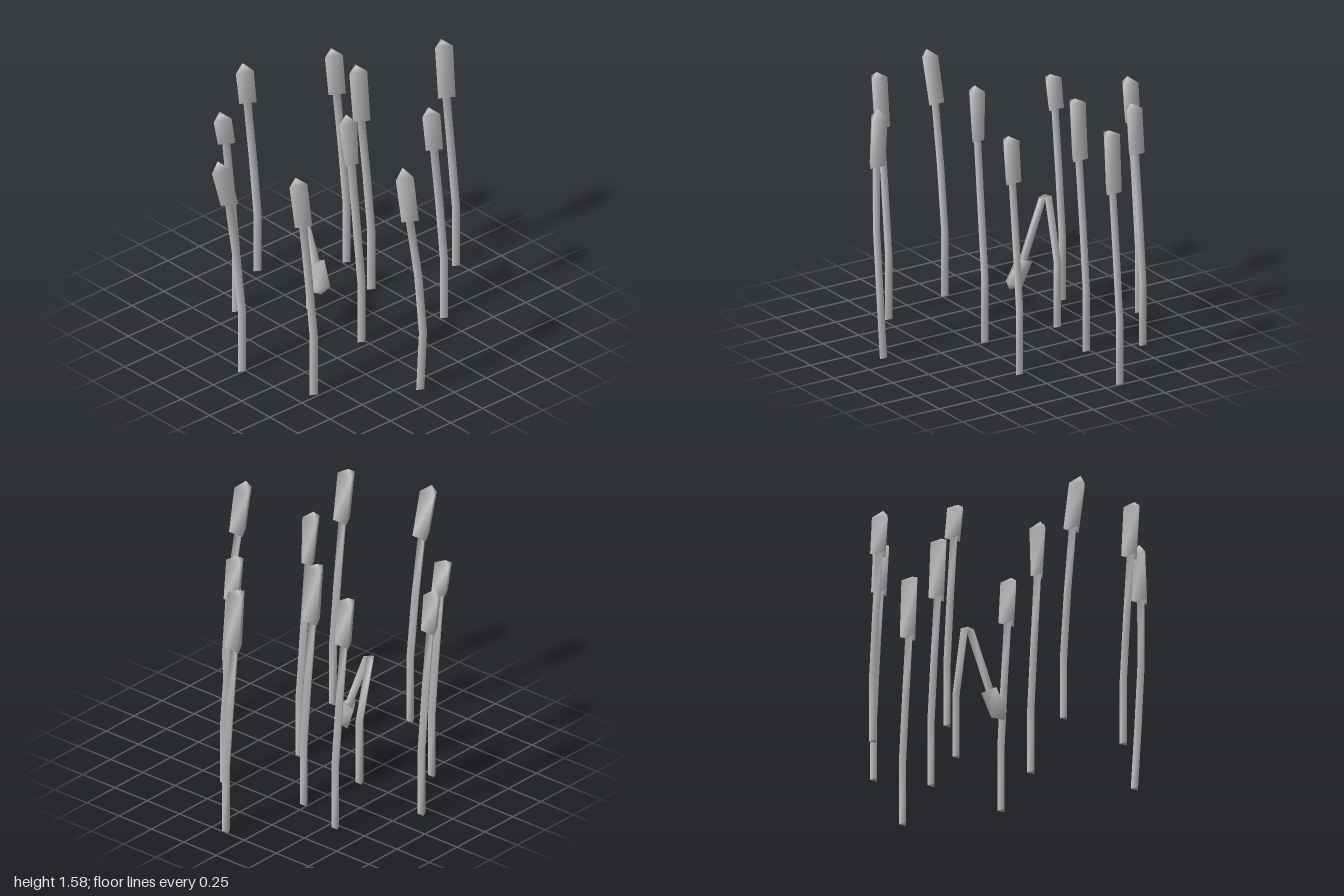
import * as THREE from 'three';

const SIDES = 3;
const STEM = 0.028, HEAD = 0.062;
const UP = new THREE.Vector3(0, 1, 0);
const material = new THREE.MeshStandardMaterial({ color: 0xcccccc });

// Skins triangular rings { at, dir, r } and closes them with a point at the tip.
function sweep(rings, tip) {
  const pos = [], index = [];
  const addRing = ({ at, dir = UP, r }) => {
    const q = new THREE.Quaternion().setFromUnitVectors(UP, dir.clone().normalize());
    for (let i = 0; i < SIDES; i++) {
      const a = Math.PI + (i / SIDES) * Math.PI * 2;
      const p = new THREE.Vector3(Math.cos(a) * r, 0, Math.sin(a) * r).applyQuaternion(q).add(at);
      pos.push(p.x, p.y, p.z);
    }
  };
  rings.forEach(addRing);
  const tipId = rings.length * SIDES;
  pos.push(tip.x, tip.y, tip.z);
  for (let k = 0; k < rings.length; k++) {
    for (let i = 0; i < SIDES; i++) {
      const a = k * SIDES + i, b = k * SIDES + (i + 1) % SIDES;
      if (k === rings.length - 1) index.push(a, tipId, b);
      else index.push(a, a + SIDES, b, b, a + SIDES, b + SIDES);
    }
  }
  // flat foot with its own vertices, so its edge stays sharp
  addRing(rings[0]);
  index.push(tipId + 1, tipId + 2, tipId + 3);
  const geo = new THREE.BufferGeometry();
  geo.setAttribute('position', new THREE.Float32BufferAttribute(pos, 3));
  geo.setIndex(index);
  geo.computeVertexNormals();
  return geo;
}

const V = (x, y, z) => new THREE.Vector3(x, y, z);

// Upright reed: straight foot, stem curving to -x, long head with a pointed cap.
function reed({ x, z, top, cap, lean = [0.037, 0.078, 0.108], bow = [0, 0, 0, 0], neck = 1.18, neckR = 0.06 }) {
  const base = V(x, 0, z);
  const bend = V(x, 0.4, z + bow[0]);
  const mid = V(x - lean[0], 0.8, z + bow[1]);
  const collar = V(x - lean[1], neck, z + bow[2]);
  const tip = V(x - lean[2], top, z + bow[3]);
  const dir = tip.clone().sub(collar).normalize();
  const shoulder = tip.clone().addScaledVector(dir, -cap);
  return sweep([
    { at: base, r: STEM },
    { at: bend, r: STEM },
    { at: mid, r: STEM },
    { at: collar, r: STEM },
    { at: collar, r: neckR },
    { at: shoulder, dir, r: HEAD },
  ], tip);
}

// Snapped reed: the upper half folds over and hangs down towards the front.
function brokenReed() {
  const fold = V(-0.095, 0.775, -0.262), collar = V(-0.09, 0.425, -0.128);
  const dir = collar.clone().sub(fold);
  return sweep([
    { at: V(0.013, 0, -0.295), r: STEM },
    { at: V(0.013, 0.4, -0.295), r: STEM },
    { at: V(-0.085, 0.79, -0.295), r: STEM },
    { at: fold, dir, r: STEM },
    { at: collar, dir, r: STEM },
    { at: collar, dir, r: 0.058 },
    { at: V(-0.105, 0.277, -0.065), dir, r: HEAD },
  ], V(-0.11, 0.245, -0.048));
}

const REEDS = [
  { x: 0.071, z: -0.825, top: 1.445, cap: 0.045 },
  { x: -0.334, z: -0.555, top: 1.38, cap: 0.025, lean: [0.037, 0.078, 0.116] },
  { x: 0.53, z: -0.555, top: 1.48, cap: 0.03 },
  { x: 0.43, z: -0.225, top: 1.55, cap: 0.025 },
  { x: 0.982, z: -0.1, top: 1.56, cap: 0.025, lean: [0.037, 0.075, 0.1] },
  { x: -0.765, z: -0.015, top: 1.49, cap: 0.05, lean: [0.045, 0.103, 0.185] },
  { x: -0.016, z: 0.193, top: 1.575, cap: 0.045, neck: 1.24, neckR: 0.046, bow: [0, 0, 0, -0.006] },
  { x: 0.53, z: 0.305, top: 1.46, cap: 0.033 },
  { x: -0.63, z: 0.465, top: 1.51, cap: 0.035, lean: [0.04, 0.083, 0.125], bow: [0, 0, 0, -0.005] },
  { x: -0.122, z: 0.832, top: 1.525, cap: 0.06, lean: [0.037, 0.08, 0.105], bow: [0.024, 0.024, -0.003, -0.034] },
];

export function createModel() {
  const group = new THREE.Group();
  group.name = 'reeds';
  const add = (geo, name) => {
    const mesh = new THREE.Mesh(geo, material);
    mesh.name = name;
    group.add(mesh);
  };
  REEDS.forEach((spec, i) => add(reed(spec), `reed${i + 1}`));
  add(brokenReed(), 'brokenReed');
  return group;
}
